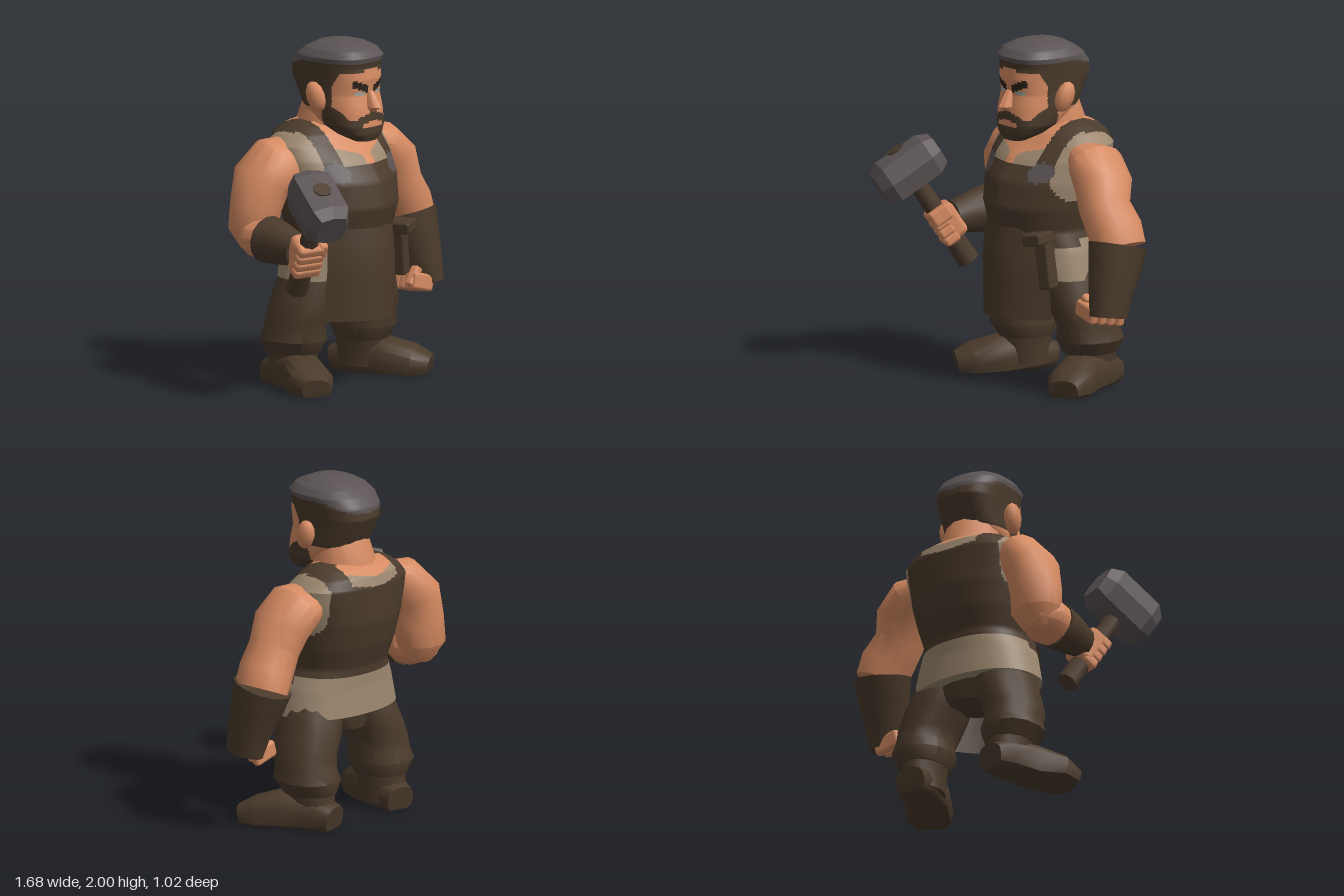
import * as THREE from 'three';
import { toCreasedNormals } from 'three/addons/utils/BufferGeometryUtils.js';
import { RoundedBoxGeometry } from 'three/addons/geometries/RoundedBoxGeometry.js';

const mat = (name, color) => {
  const m = new THREE.MeshStandardMaterial({ color });
  m.name = name;
  return m;
};
const leather = mat('dark leather', 0x4a3a2b);
const skin = mat('skin', 0xd68b62);
const shirt = mat('linen shirt', 0x9c876f);
const iron = mat('iron grey', 0x5b5354);
const brow = mat('brow dark', 0x2e231b);
const eye = mat('eye white', 0xa5a79c);
const CX = 0.03; // body midline

// Skin cross-sections [x, y, z, radiusA, radiusB]; rule(x, y, z) may pick a material per face.
function loft(name, keys, material, o = {}) {
  const { cols = 14, sub = 1, power = 2, flat = false, rule = null, shape = null } = o;
  const Y = new THREE.Vector3(0, 1, 0), V = (k) => new THREE.Vector3(k[0], k[1], k[2]);
  const rows = [], pos = [];
  keys.forEach((k, i) => {
    const t = flat ? Y.clone() : V(keys[Math.min(i + 1, keys.length - 1)]).sub(V(keys[Math.max(i - 1, 0)])).normalize();
    const u = new THREE.Vector3(1, 0, 0);
    u.addScaledVector(t, -u.dot(t)).normalize();
    const v = t.clone().cross(u), ring = [];
    for (let j = 0; j < cols; j++) {
      const a = (j / cols) * Math.PI * 2, c = Math.cos(a), s = Math.sin(a);
      ring.push(V(k)
        .addScaledVector(u, Math.sign(c) * Math.abs(c) ** (2 / power) * k[3])
        .addScaledVector(v, Math.sign(s) * Math.abs(s) ** (2 / power) * k[4]));
    }
    const last = rows[rows.length - 1];
    for (let n = 1; last && n < sub; n++) rows.push(last.map((p, j) => p.clone().lerp(ring[j], n / sub)));
    rows.push(ring);
  });
  const pts = [...rows.flat(), V(keys[0]), V(keys[keys.length - 1])];
  if (shape) pts.forEach(shape);
  pts.forEach((p) => pos.push(p.x, p.y, p.z));
  const buckets = new Map();
  const face = (corners, ...tris) => {
    const mid = (k) => corners.reduce((sum, c) => sum + pts[c][k], 0) / corners.length;
    const m = rule ? rule(mid('x'), mid('y'), mid('z')) : material;
    if (!buckets.has(m)) buckets.set(m, []);
    buckets.get(m).push(...tris);
  };
  const R = rows.length, end = (R - 1) * cols;
  for (let j = 0; j < cols; j++) {
    const k = (j + 1) % cols;
    for (let i = 0; i < R - 1; i++) {
      const a = i * cols + j, b = i * cols + k, c = a + cols, d = b + cols;
      face([a, b, c, d], a, b, c, b, d, c);
    }
    face([j, k], R * cols, k, j);
    face([end + j, end + k], R * cols + 1, end + j, end + k);
  }
  let g = new THREE.BufferGeometry();
  g.setAttribute('position', new THREE.Float32BufferAttribute(pos, 3));
  const index = [], mats = [...buckets.keys()];
  mats.forEach((m, i) => {
    g.addGroup(index.length, buckets.get(m).length, i);
    for (const n of buckets.get(m)) index.push(n);
  });
  g.setIndex(index);
  g = toCreasedNormals(g, o.crease ?? 0.7);
  if (mats.length === 1) g.clearGroups();
  return named(name, new THREE.Mesh(g, mats.length === 1 ? mats[0] : mats));
}
function named(name, o) { o.name = name; return o; }
function block(name, size, at, material, r = 0.02, rot = [0, 0, 0]) {
  const m = named(name, new THREE.Mesh(new RoundedBoxGeometry(...size, 1, r), material));
  m.position.set(...at);
  m.rotation.set(...rot);
  return m;
}

// Apron bib, straps, shirt and open collar on the torso
function torsoRule(x, y, z) {
  const ax = Math.abs(x - CX), front = z > -0.22;
  if (y < (z > -0.15 ? 0.83 : 0.88)) return shirt;
  if (front && (ax - 0.235) ** 2 / 0.0045 + (y - 1.265) ** 2 / 0.0033 < 1) return iron;
  if (y > 1.1 && ax > (front ? 0.295 : 0.315) + Math.max(0, 1.2 - y) * 0.6) return shirt;
  if (y < (front ? 1.29 : 1.405 + ax * 0.15) || ax > 0.19) return leather;
  if (front) return ax > 0.03 && y < 1.34 + ax * 0.3 ? shirt : skin;
  return y < 1.465 + ax * 0.15 ? shirt : skin;
}
// Hair, sideburns, beard, brows and eyes on the head
function headRule(x, y, z) {
  const ax = Math.abs(x - 0.03);
  if (y > 1.89 + Math.min(0, z + 0.25) * 0.35) return iron;
  if (y > 1.83 + (ax < 0.06 ? 0.02 : 0)) return leather;
  if (z < -0.12) return y > 1.62 ? leather : skin;
  if (z < -0.045 + Math.max(0, y - 1.75) * 0.6) return leather;
  if (ax < 0.085 && y > 1.515 && y < 1.555 - ax * 0.25) return skin;
  const edge = ax < 0.11 ? 1.605 - ax * 0.3 : 1.56 + Math.max(0, ax - 0.15) * 2;
  if (y < edge) return leather;
  if (ax > 0.022 && ax < 0.125 && Math.abs(y - 1.722 - ax * 0.4) < 0.022) return brow;
  if (ax > 0.05 && ax < 0.11 && y > 1.7 && y < 1.722) return eye;
  return skin;
}

export function createModel() {
  const model = named('blacksmith', new THREE.Group());
  const add = (...m) => model.add(...m);

  // Torso and neck; the chest narrows towards the front
  add(loft('torso', [
    [CX, 0.64, -0.155, 0.4, 0.275], [CX, 0.8, -0.145, 0.365, 0.275], [CX, 0.92, -0.13, 0.32, 0.295],
    [CX, 1.05, -0.135, 0.355, 0.335], [CX, 1.2, -0.165, 0.38, 0.335], [CX, 1.33, -0.21, 0.4, 0.29],
    [CX, 1.41, -0.25, 0.395, 0.25], [CX, 1.47, -0.265, 0.33, 0.215], [CX, 1.51, -0.265, 0.265, 0.16],
    [CX, 1.53, -0.265, 0.22, 0.11],
  ], shirt, {
    flat: true, cols: 200, sub: 8, power: 2.3, rule: torsoRule,
    shape: (p) => { if (p.z > -0.14) p.z = -0.14 + (p.z + 0.14) * (1 - 0.55 * Math.abs(p.x - CX)); },
  }));
  add(loft('neck', [
    [CX, 1.38, -0.23, 0.2, 0.19], [CX, 1.52, -0.23, 0.18, 0.185], [CX, 1.68, -0.2, 0.16, 0.15],
  ], skin, { flat: true }));

  // Head with nose and ears
  const H = 0.028;
  add(loft('head', [
    [H, 1.43, 0.05, 0.07, 0.05], [H, 1.47, 0.01, 0.135, 0.105], [H, 1.52, -0.035, 0.175, 0.15],
    [H, 1.6, -0.105, 0.188, 0.215], [H, 1.63, -0.12, 0.19, 0.225], [H, 1.7, -0.147, 0.19, 0.235],
    [H, 1.79, -0.163, 0.195, 0.265], [H, 1.86, -0.163, 0.203, 0.257], [H, 1.915, -0.135, 0.207, 0.243],
    [H, 1.955, -0.125, 0.178, 0.2], [H, 1.985, -0.13, 0.125, 0.135], [H, 2, -0.13, 0.06, 0.065],
  ], skin, { flat: true, cols: 200, sub: 8, power: 2.6, rule: headRule }));
  add(loft('nose', [
    [H, 1.6, 0.085, 0.03, 0.03], [H, 1.63, 0.1, 0.042, 0.068], [H, 1.72, 0.085, 0.022, 0.028],
  ], skin, { flat: true, cols: 8 }));
  for (const s of [-1, 1]) {
    const ear = named('ear', new THREE.Mesh(new THREE.SphereGeometry(1, 8, 6), skin));
    ear.scale.set(0.048, 0.092, 0.06);
    ear.position.set(H + 0.005 + s * 0.222, 1.69, -0.135);
    ear.rotation.set(-0.3, 0, -s * 0.15);
    add(ear);
  }

  // Apron skirt: a curved sheet hanging from the waist
  const sheet = new THREE.PlaneGeometry(2, 1, 12, 5), sp = sheet.attributes.position;
  for (let i = 0; i < sp.count; i++) {
    const s = sp.getX(i), t = 0.5 - sp.getY(i);
    const zf = 0.175 + 0.03 * Math.min(1, t * 3);
    sp.setXYZ(i, 0.015 + s * (0.285 + 0.015 * t), 0.94 - 0.535 * t, zf - (0.16 + 0.04 * t) * Math.abs(s) ** 1.9);
  }
  sheet.computeVertexNormals();
  const apronMat = leather.clone();
  apronMat.side = THREE.DoubleSide;
  add(named('apronSkirt', new THREE.Mesh(sheet, apronMat)));

  // Tool hanging at the hip
  add(block('hipSheath', [0.085, 0.31, 0.09], [0.325, 0.755, 0.055], leather, 0.015, [0, 0.3, 0.14]));
  add(block('hipToolHead', [0.13, 0.07, 0.16], [0.295, 0.895, 0.09], leather, 0.015, [0, 0.3, 0.14]));

  // Trousers, boots
  add(loft('pelvis', [[CX, 0.53, -0.2, 0.14, 0.15], [CX, 0.72, -0.17, 0.34, 0.21]], leather, { flat: true }));
  for (const s of [-1, 1]) {
    const side = (keys) => keys.map(([x, ...r]) => [0.045 + s * x, ...r]);
    add(loft('trouserLeg', side([
      [0.3, 0.2, -0.25, 0.135, 0.165], [0.31, 0.28, -0.24, 0.175, 0.2], [0.31, 0.35, -0.23, 0.155, 0.185],
      [0.3, 0.42, -0.21, 0.165, 0.195], [0.26, 0.52, -0.2, 0.17, 0.2], [0.21, 0.66, -0.18, 0.175, 0.19],
      [0.17, 0.8, -0.16, 0.16, 0.16],
    ]), leather, { flat: true, power: 2.2 }));
    add(loft('bootShaft', side([
      [0.3, 0.04, -0.27, 0.12, 0.155], [0.3, 0.17, -0.255, 0.12, 0.155], [0.3, 0.27, -0.24, 0.15, 0.17],
    ]), leather, { flat: true }));
    add(loft('bootFoot', side([
      [0.28, 0.06, -0.425, 0.09, 0.08], [0.3, 0.08, -0.32, 0.115, 0.11], [0.36, 0.08, -0.13, 0.125, 0.13],
      [0.45, 0.06, 0.01, 0.14, 0.1], [0.5, 0.04, 0.1, 0.09, 0.065],
    ]), leather, { power: 2.6, shape: (p) => { p.y = Math.max(0, p.y); } }));
  }

  // Left arm hanging, with bracer and curled fingers
  add(loft('leftArm', [
    [0.31, 1.36, -0.23, 0.075, 0.13], [0.43, 1.315, -0.22, 0.14, 0.18], [0.53, 1.22, -0.2, 0.15, 0.18],
    [0.57, 1.09, -0.18, 0.14, 0.155], [0.65, 0.97, -0.19, 0.15, 0.165], [0.69, 0.87, -0.19, 0.14, 0.165],
  ], skin));
  add(loft('leftBracer', [
    [0.68, 0.885, -0.19, 0.162, 0.178], [0.695, 0.75, -0.155, 0.143, 0.158], [0.71, 0.6, -0.11, 0.115, 0.13],
    [0.72, 0.48, -0.09, 0.095, 0.12],
  ], leather));
  for (let i = 0; i < 4; i++) {
    add(block('leftFinger', [0.17, 0.1, 0.054], [0.61 + i * 0.015, 0.505 - i * 0.008, -0.02 - i * 0.052], skin, 0.02, [0, 0, -0.25]));
  }
  add(block('leftThumb', [0.06, 0.13, 0.06], [0.56, 0.54, -0.04], skin, 0.02, [0, 0, -0.6]));

  // Right arm bent forward
  add(loft('rightUpperArm', [
    [-0.25, 1.36, -0.24, 0.075, 0.13], [-0.365, 1.315, -0.275, 0.14, 0.18], [-0.455, 1.22, -0.315, 0.15, 0.185],
    [-0.49, 1.07, -0.33, 0.15, 0.15], [-0.5, 0.94, -0.34, 0.15, 0.14], [-0.5, 0.84, -0.32, 0.09, 0.08],
  ], skin));
  add(loft('rightForearm', [
    [-0.5, 0.92, -0.4, 0.09, 0.08], [-0.515, 0.91, -0.27, 0.15, 0.13], [-0.53, 0.9, -0.14, 0.125, 0.12],
  ], skin));
  add(loft('rightBracer', [
    [-0.53, 0.9, -0.2, 0.14, 0.138], [-0.545, 0.89, -0.1, 0.12, 0.125], [-0.56, 0.87, 0.04, 0.085, 0.095],
  ], leather));

  // Hammer and the fist that grips it, built along the handle
  const grip = named('hammerAndFist', new THREE.Group());
  const up = new THREE.Vector3(-0.21, 0.66, 0.37).normalize();
  const along = new THREE.Vector3(-0.15, -0.16, 0.35);
  along.addScaledVector(up, -along.dot(up)).normalize();
  grip.quaternion.setFromRotationMatrix(new THREE.Matrix4().makeBasis(up.clone().cross(along), up, along));
  grip.position.set(-0.563, 0.85, 0.11);
  const handle = named('hammerHandle', new THREE.Mesh(new THREE.CylinderGeometry(0.045, 0.065, 0.79, 8), leather));
  handle.position.y = 0.12;
  grip.add(handle);
  grip.add(loft('hammerHead', [
    [0, 0.38, -0.205, 0.1, 0.1], [0, 0.38, -0.14, 0.135, 0.135],
    [0, 0.38, 0.14, 0.135, 0.135], [0, 0.38, 0.205, 0.095, 0.095],
  ], iron, { cols: 8, power: 3.4, crease: 0.3 }));
  const peg = named('handleEnd', new THREE.Mesh(new THREE.CylinderGeometry(0.055, 0.055, 0.008, 8), leather));
  peg.position.y = 0.515;
  grip.add(peg);
  grip.add(block('rightPalm', [0.165, 0.22, 0.13], [0, -0.01, -0.03], skin, 0.035));
  for (let i = 0; i < 4; i++) {
    grip.add(block('rightFinger', [0.17, 0.062, 0.1], [0.005, -0.095 + i * 0.054, 0.02], skin, 0.022));
  }
  grip.add(block('rightThumb', [0.06, 0.1, 0.13], [0.075, 0.06, 0], skin, 0.022));
  add(grip);
  return model;
}
